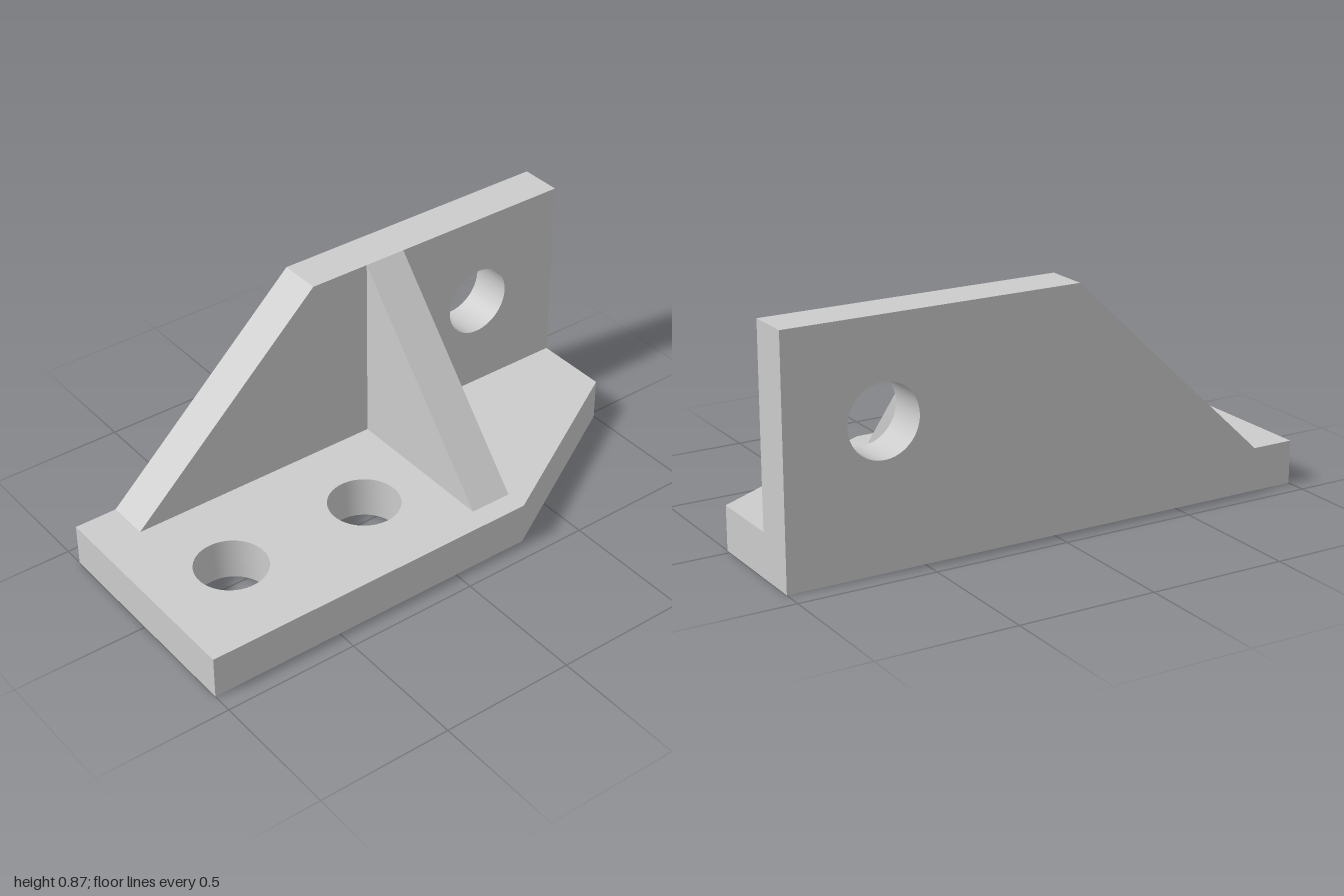
import * as THREE from 'three';
import { toCreasedNormals } from 'three/addons/utils/BufferGeometryUtils.js';

const HALF_W = 0.423, BASE_H = 0.16, TOP = 0.865, WALL_IN = -0.265, HOLE_R = 0.13;

// Extruded plate from an outline, with round holes at the given centres
function plate(outline, holes, depth) {
  const shape = new THREE.Shape(outline.map(([x, y]) => new THREE.Vector2(x, y)));
  for (const [x, y] of holes) {
    shape.holes.push(new THREE.Path().absarc(x, y, HOLE_R, 0, Math.PI * 2, true));
  }
  const geometry = new THREE.ExtrudeGeometry(shape, { depth, bevelEnabled: false, curveSegments: 32 });
  return toCreasedNormals(geometry, 0.3);
}

export function createModel() {
  const group = new THREE.Group();
  const material = new THREE.MeshStandardMaterial({ color: 0xcccccc });
  const add = (name, geometry) => {
    const mesh = new THREE.Mesh(geometry, material);
    mesh.name = name;
    group.add(mesh);
  };

  // Base plate with a cut back corner and two bolt holes (outline in x, -z)
  add('basePlate', plate(
    [[-HALF_W, -1], [HALF_W, -1], [HALF_W, 0.3], [0.02, 1], [-HALF_W, 1]],
    [[0.07, -0.13], [0.07, -0.69]],
    BASE_H
  ).rotateX(-Math.PI / 2));

  // Upright wall with a sloped front edge and one bolt hole (outline in z, y)
  add('sideWall', plate(
    [[-1, BASE_H], [0.84, BASE_H], [0.09, TOP], [-1, TOP]],
    [[-0.645, 0.515]],
    HALF_W + WALL_IN
  ).rotateY(-Math.PI / 2).translate(WALL_IN, 0, 0));

  // Triangular rib bracing the wall against the base
  add('braceRib', plate(
    [[WALL_IN, BASE_H], [0.342, BASE_H], [WALL_IN, TOP]],
    [],
    0.16
  ).translate(0, 0, -0.298));

  return group;
}
